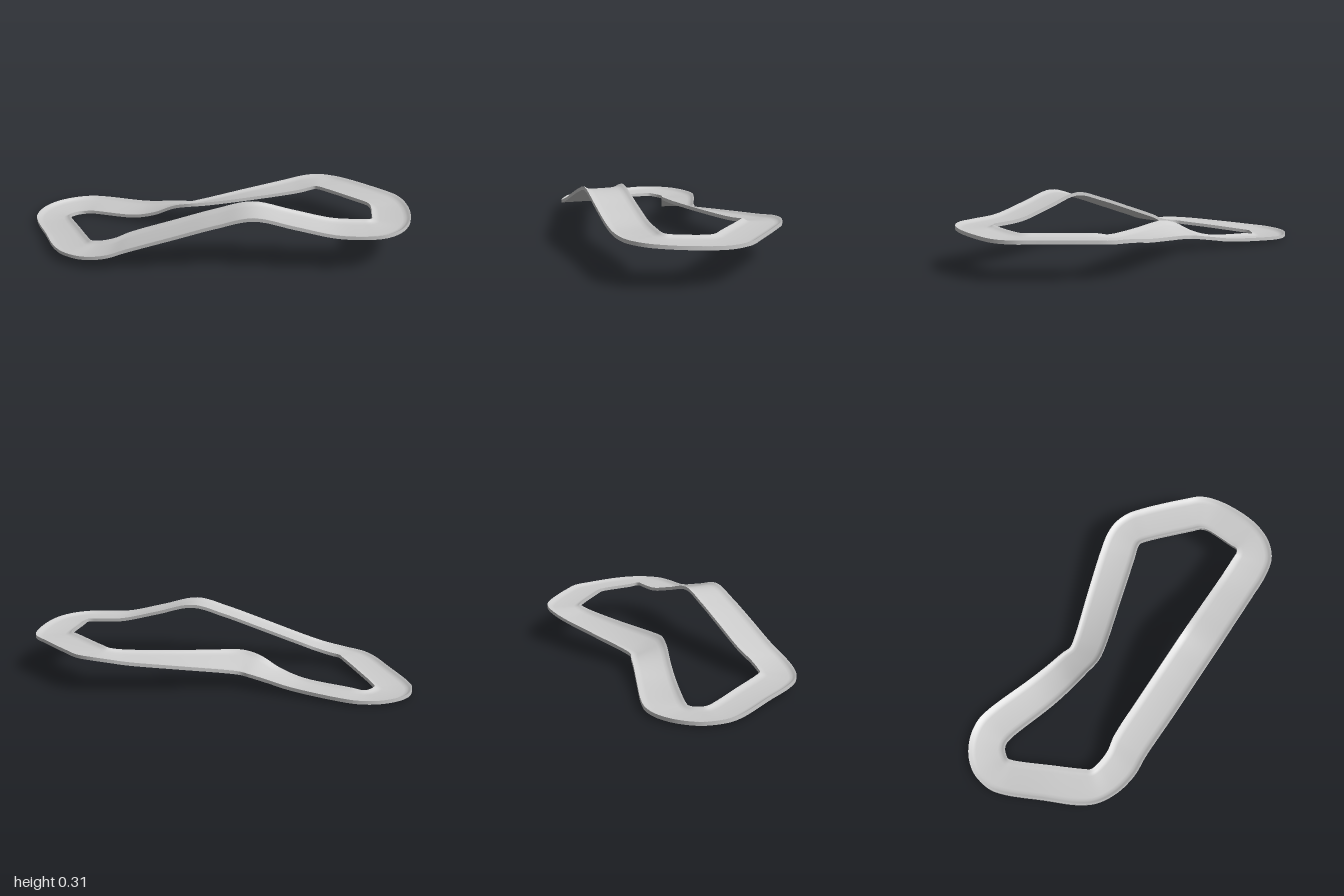
import * as THREE from 'three';

// Matching stations [x, y, z] around the circuit: outer edge and inner edge.
const OUTER = [
  [-0.9, 0.03, 0.08], [-0.985, 0.015, -0.12], [-1.0, 0.012, -0.2], [-0.975, 0.01, -0.31],
  [-0.91, 0.01, -0.39], [-0.82, 0.01, -0.44], [-0.73, 0.012, -0.455], [-0.65, 0.015, -0.44],
  [-0.4, 0.03, -0.345], [-0.28, 0.05, -0.3], [-0.19, 0.065, -0.27], [-0.145, 0.07, -0.252],
  [-0.09, 0.078, -0.26], [0.15, 0.11, -0.33], [0.4, 0.143, -0.4], [0.5, 0.16, -0.42],
  [0.58, 0.168, -0.418], [0.66, 0.17, -0.39], [0.73, 0.175, -0.335], [0.9, 0.18, -0.17],
  [0.97, 0.18, -0.09], [1.0, 0.18, 0.02], [0.99, 0.19, 0.19], [0.96, 0.195, 0.29],
  [0.91, 0.197, 0.37], [0.83, 0.198, 0.43], [0.73, 0.198, 0.45], [0.58, 0.205, 0.45],
  [0.38, 0.25, 0.45], [0.18, 0.294, 0.45], [0, 0.25, 0.44], [-0.2, 0.185, 0.428],
  [-0.44, 0.105, 0.41], [-0.55, 0.07, 0.41], [-0.67, 0.05, 0.38], [-0.77, 0.045, 0.32],
  [-0.83, 0.04, 0.24],
];
const INNER = [
  [-0.73, 0.03, 0.01], [-0.81, 0.01, -0.175], [-0.815, 0.008, -0.205], [-0.8, 0.004, -0.23],
  [-0.78, 0.002, -0.25], [-0.755, 0.002, -0.26], [-0.735, 0.005, -0.258], [-0.7, 0.01, -0.25],
  [-0.46, 0.025, -0.165], [-0.34, 0.06, -0.125], [-0.23, 0.115, -0.09], [-0.14, 0.135, -0.07],
  [-0.06, 0.137, -0.08], [0.2, 0.142, -0.148], [0.46, 0.155, -0.217], [0.525, 0.165, -0.235],
  [0.545, 0.17, -0.235], [0.56, 0.173, -0.225], [0.6, 0.175, -0.19], [0.76, 0.18, -0.03],
  [0.795, 0.18, 0.005], [0.807, 0.18, 0.04], [0.79, 0.19, 0.2], [0.785, 0.195, 0.235],
  [0.775, 0.197, 0.245], [0.76, 0.198, 0.25], [0.72, 0.198, 0.25], [0.58, 0.205, 0.25],
  [0.38, 0.25, 0.25], [0.18, 0.294, 0.25], [0, 0.25, 0.24], [-0.2, 0.185, 0.228],
  [-0.44, 0.105, 0.215], [-0.52, 0.075, 0.225], [-0.6, 0.055, 0.215], [-0.64, 0.05, 0.2],
  [-0.66, 0.045, 0.165],
];

// Road section as [across, height]: dished top with raised rims.
const RIM = 0.018;
const TOP = [
  [0, RIM], [0.03, 0.0165], [0.07, 0.011], [0.12, 0.006], [0.2, 0.003], [0.5, 0.002],
  [0.8, 0.003], [0.88, 0.006], [0.93, 0.011], [0.97, 0.0165], [1, RIM],
];

const STEPS = OUTER.length * 6;

const loop = (points) =>
  new THREE.CatmullRomCurve3(points.map((p) => new THREE.Vector3(...p)), true, 'centripetal');

// Sweep one strip of the section around the closed circuit.
function strip(name, profile, outer, inner, material) {
  const positions = [];
  const index = [];
  const n = profile.length;
  for (let i = 0; i < STEPS; i++) {
    const a = outer.getPoint(i / STEPS);
    const b = inner.getPoint(i / STEPS);
    const next = (i + 1) % STEPS;
    profile.forEach(([across, height], j) => {
      const p = a.clone().lerp(b, across);
      positions.push(p.x, Math.max(0, p.y) + height, p.z);
      if (j === n - 1) return;
      const p0 = i * n + j;
      const q0 = next * n + j;
      index.push(p0, p0 + 1, q0, p0 + 1, q0 + 1, q0);
    });
  }
  const geometry = new THREE.BufferGeometry();
  geometry.setAttribute('position', new THREE.Float32BufferAttribute(positions, 3));
  geometry.setIndex(index);
  geometry.computeVertexNormals();
  const mesh = new THREE.Mesh(geometry, material);
  mesh.name = name;
  return mesh;
}

export function createModel() {
  const model = new THREE.Group();
  model.name = 'raceCircuit';
  const material = new THREE.MeshStandardMaterial({ color: 0xcccccc });
  const outer = loop(OUTER);
  const inner = loop(INNER);

  // Separate strips keep the rim edges sharp while each surface stays smooth.
  model.add(
    strip('roadSurface', TOP, outer, inner, material),
    strip('innerWall', [[1, RIM], [1, 0]], outer, inner, material),
    strip('underside', [[1, 0], [0.5, 0], [0, 0]], outer, inner, material),
    strip('outerWall', [[0, 0], [0, RIM]], outer, inner, material),
  );
  return model;
}
